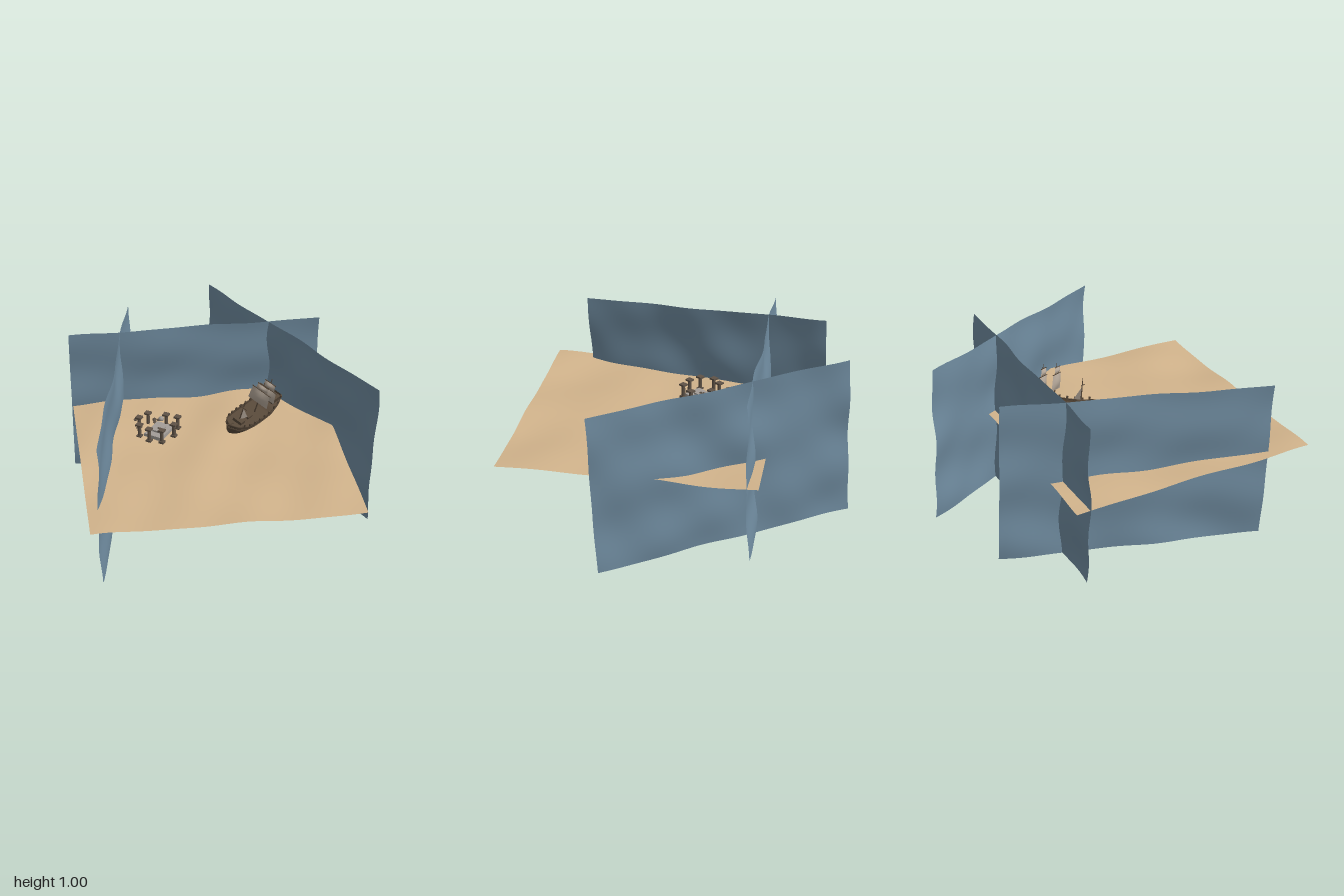
import * as THREE from 'three';

const mat = (name, color, side = THREE.FrontSide) => {
  const m = new THREE.MeshStandardMaterial({ color, side });
  m.name = name;
  return m;
};

export function createModel() {
  const sand = mat('sand', 0xd2b48c, THREE.DoubleSide);
  const water = mat('slateBlue', 0x6f8b9f, THREE.DoubleSide);
  const wood = mat('darkWood', 0x574839, THREE.DoubleSide);
  const cloth = mat('sailCloth', 0xb3a698, THREE.DoubleSide);
  const stone = mat('darkStone', 0x5f5347);
  const slabGrey = mat('paleStone', 0xa39d97);
  const root = new THREE.Group();

  const add = (parent, name, geo, material, x = 0, y = 0, z = 0) => {
    const m = new THREE.Mesh(geo, material);
    m.name = name;
    m.position.set(x, y, z);
    parent.add(m);
    return m;
  };
  const box = (p, name, m, w, h, d, x, y, z) => add(p, name, new THREE.BoxGeometry(w, h, d), m, x, y, z);

  // Grid surface whose points come from a rule of (u, v)
  const surface = (nu, nv, rule) => {
    const g = new THREE.PlaneGeometry(1, 1, nu, nv);
    const p = g.attributes.position;
    for (let i = 0; i < p.count; i++) {
      p.setXYZ(i, ...rule(p.getX(i) + 0.5, p.getY(i) + 0.5));
    }
    g.computeVertexNormals();
    return g;
  };

  // Gently rippled sheet between four corners
  const sheet = (name, m, corners, amp, phase) => {
    const [tl, tr, bl, br] = corners.map(c => new THREE.Vector3(...c));
    const n = tr.clone().sub(tl).cross(tl.clone().sub(bl)).normalize();
    add(root, name, surface(48, 32, (u, v) => {
      const top = tl.clone().lerp(tr, u);
      const p = bl.clone().lerp(br, u).lerp(top, v);
      const d = Math.sin(u * 13 + phase + 2 * Math.sin(v * 5)) * 0.5
        + Math.sin(v * 15 + u * 4 + phase * 2) * 0.35
        + Math.sin(u * 24 - v * 9 + phase) * 0.2;
      return p.addScaledVector(n, d * amp).toArray();
    }), m);
  };

  sheet('sandGround', sand,
    [[-1, 0.508, -0.11], [0.16, 0.508, -0.99], [-0.16, 0.51, 0.99], [1, 0.505, 0.11]], 0.012, 0.6);
  sheet('backWall', water,
    [[-0.95, 0.975, -0.04], [0.21, 0.975, -0.93], [-0.98, 0.075, -0.07], [0.18, 0.075, -0.96]], 0.014, 0);
  sheet('rightWall', water,
    [[-0.85, 0.995, -0.52], [-0.23, 0.9, 0.8], [-0.88, 0.095, -0.56], [-0.26, 0, 0.755]], 0.014, 0);
  sheet('leftWall', water,
    [[-0.54, 1, -0.95], [0.81, 0.92, -0.41], [-0.57, 0.105, -0.99], [0.78, 0.025, -0.455]], 0.014, 0);

  // Stranded ship, heeled over; its bow points along local +z
  const ship = new THREE.Group();
  ship.name = 'ship';
  ship.position.set(0.04, 0.555, -0.42);
  ship.rotation.set(0, -0.15, -0.3, 'YXZ');
  root.add(ship);

  const halfLen = 0.23;
  const halfWidth = t => 0.072 * (t > 0 ? Math.sqrt(Math.max(0, 1 - t ** 3)) : 1 - 0.55 * t ** 4);
  const rim = t => 0.022 * t * t + (t < -0.45 ? 0.014 : 0) + (t > 0.6 ? 0.008 : 0);
  add(ship, 'hull', surface(28, 12, (u, v) => {
    const t = u * 2 - 1, a = v * Math.PI;
    const depth = 0.085 * (1 - 0.45 * t ** 6);
    return [halfWidth(t) * Math.sign(Math.cos(a)) * Math.abs(Math.cos(a)) ** 0.7,
      rim(t) - (depth + rim(t)) * Math.sin(a), t * halfLen * (1 - 0.08 * Math.sin(a))];
  }), wood);
  add(ship, 'deck', surface(28, 2, (u, v) => {
    const t = u * 2 - 1;
    return [halfWidth(t) * (v * 2 - 1) * 0.97, rim(t) - 0.014, t * halfLen * 0.99];
  }), wood);
  add(ship, 'sternBoard', surface(4, 1, (u, v) =>
    [(u * 2 - 1) * halfWidth(-1), rim(-1) - 0.08 * (1 - v), -halfLen]), wood);

  // Planking bands and rail posts on both sides
  for (const s of [-1, 1]) {
    for (const [drop, r] of [[0, 0.004], [0.022, 0.003]]) {
      const pts = [];
      for (let i = 0; i <= 14; i++) {
        const t = -1 + i / 7;
        pts.push(new THREE.Vector3(s * halfWidth(t), rim(t) - drop, t * halfLen));
      }
      add(ship, 'sideRail', new THREE.TubeGeometry(new THREE.CatmullRomCurve3(pts), 28, r, 4), wood);
    }
    for (let i = 0; i < 9; i++) {
      const t = -0.9 + i * 0.2;
      box(ship, 'railPost', wood, 0.007, 0.022, 0.01, s * halfWidth(t), rim(t) + 0.006, t * halfLen);
    }
  }
  box(ship, 'sternCabin', wood, 0.085, 0.03, 0.07, 0, 0.03, -0.17);
  box(ship, 'foreCabin', wood, 0.06, 0.02, 0.04, 0, 0.012, 0.135);
  box(ship, 'hatch', wood, 0.035, 0.012, 0.04, 0, -0.006, 0.04);
  const sprit = add(ship, 'bowsprit', new THREE.CylinderGeometry(0.002, 0.004, 0.06, 6), wood, 0, 0.035, 0.225);
  sprit.rotation.x = 1.2;

  // Masts with yards and square sails: [z, height, [[yard height, width, sail drop], ...]]
  const masts = [
    [0.13, 0.145, [[0.11, 0.05, 0]]],
    [-0.03, 0.205, [[0.15, 0.12, 0.09], [0.19, 0.07, 0.035]]],
    [-0.11, 0.19, [[0.125, 0.11, 0.075], [0.17, 0.07, 0.04]]],
  ];
  for (const [z, h, yards] of masts) {
    add(ship, 'mast', new THREE.CylinderGeometry(0.002, 0.0045, h + 0.03, 6), wood, 0, h / 2 - 0.01, z);
    for (const [y, w, drop] of yards) {
      const yard = add(ship, 'yard', new THREE.CylinderGeometry(0.0025, 0.0025, w * 1.1, 6), wood, 0, y, z + 0.005);
      yard.rotation.z = Math.PI / 2;
      if (!drop) continue;
      add(ship, 'squareSail', surface(6, 6, (u, v) =>
        [(u - 0.5) * w * (1.15 - 0.15 * v), y - drop * (1 - v),
          z + 0.006 + 0.014 * Math.sin(v * Math.PI) * Math.sin(u * Math.PI)]), cloth);
    }
  }
  // Torn triangular sail by the fore mast
  add(ship, 'tornSail', surface(3, 4, (u, v) =>
    [0.004 + u * 0.015 * (1 - v), 0.02 + v * 0.08, 0.13 - u * 0.05 * (1 - v)]), cloth);

  // Ruined shrine: ring of capped pillars around a slab
  const ruin = new THREE.Group();
  ruin.name = 'ruin';
  ruin.position.set(0, 0.5, 0);
  root.add(ruin);
  const spots = [[-0.46, -0.085], [-0.36, -0.12], [-0.29, -0.13], [-0.268, -0.05],
    [-0.295, 0.04], [-0.365, 0.062], [-0.437, 0.048], [-0.48, -0.02]];
  for (const [x, z] of spots) {
    const pillar = new THREE.Group();
    pillar.name = 'pillar';
    pillar.position.set(x, 0, z);
    pillar.rotation.y = 0.05;
    ruin.add(pillar);
    box(pillar, 'pillarBase', stone, 0.03, 0.014, 0.03, 0, 0.005, 0);
    add(pillar, 'pillarShaft', new THREE.CylinderGeometry(0.01, 0.011, 0.075, 8), stone, 0, 0.04, 0);
    box(pillar, 'pillarCap', stone, 0.035, 0.01, 0.035, 0, 0.08, 0);
  }
  box(ruin, 'stoneSlab', slabGrey, 0.11, 0.022, 0.15, -0.36, 0.012, -0.04);
  box(ruin, 'altar', slabGrey, 0.05, 0.012, 0.07, -0.36, 0.028, -0.04);
  box(ruin, 'altarMark', stone, 0.012, 0.006, 0.008, -0.36, 0.036, -0.035);

  // Scattered rubble
  const rubble = [[-0.54, -0.075, 0.012], [-0.445, -0.13, 0.013], [-0.43, -0.11, 0.011],
    [-0.425, -0.14, 0.01], [-0.395, -0.1, 0.009]];
  rubble.forEach(([x, z, r], i) => {
    const rock = add(ruin, 'rubble', new THREE.DodecahedronGeometry(r), stone, x, 0.014, z);
    rock.rotation.set(i, i * 2, 0);
  });
  add(ruin, 'paleBoulder', new THREE.IcosahedronGeometry(0.016, 1), slabGrey, -0.412, 0.02, -0.15);

  return root;
}
